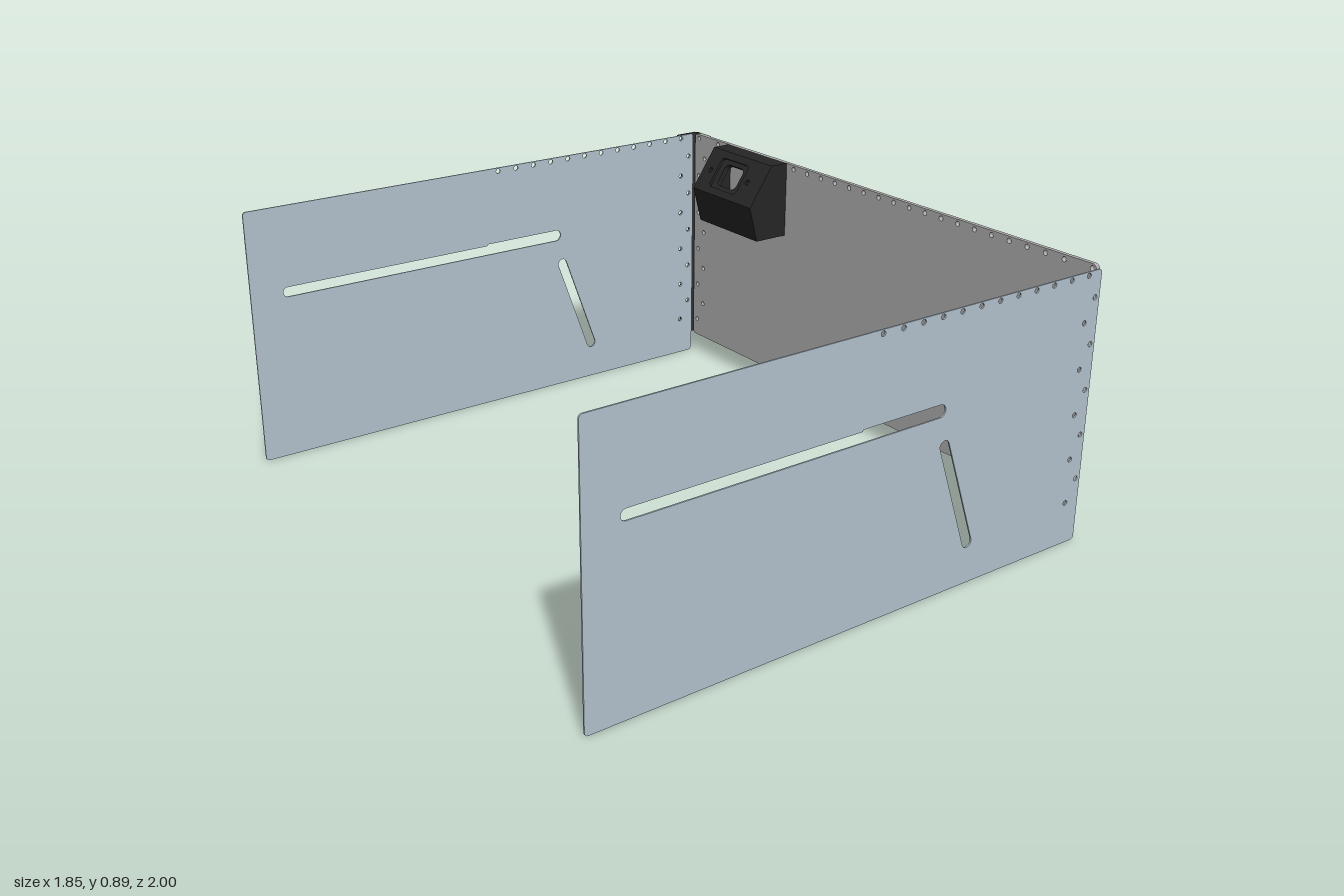
import * as THREE from 'three';

const mat = (color) => new THREE.MeshStandardMaterial({ color });
const blue = mat(0xb4c3cf), grey = mat(0xb0b0b0), dark = mat(0x333333), black = mat(0x262626);
const PITCH = 0.0735, HOLE = 0.0085;

// rectangle with rounded corners
function roundRect(x0, y0, x1, y1, r, P = THREE.Shape) {
  const s = new P();
  s.absarc(x1 - r, y1 - r, r, 0, Math.PI / 2);
  s.absarc(x0 + r, y1 - r, r, Math.PI / 2, Math.PI);
  s.absarc(x0 + r, y0 + r, r, Math.PI, Math.PI * 1.5);
  s.absarc(x1 - r, y0 + r, r, Math.PI * 1.5, Math.PI * 2);
  s.closePath();
  return s;
}

function drill(shape, x, y, r = HOLE) {
  const p = new THREE.Path();
  p.absarc(x, y, r, 0, Math.PI * 2, true);
  shape.holes.push(p);
}

// zigzag column of rivet holes, alternating between two lines
function drillColumn(shape, outer, inner) {
  for (let i = 0; i < 11; i++) drill(shape, i % 2 ? inner : outer, 0.875 - i * PITCH);
}

// slot with round ends between two points
function slot(shape, ax, ay, bx, by, r) {
  const a = Math.atan2(by - ay, bx - ax), p = new THREE.Path();
  p.absarc(bx, by, r, a - Math.PI / 2, a + Math.PI / 2);
  p.absarc(ax, ay, r, a + Math.PI / 2, a + Math.PI * 1.5);
  p.closePath();
  shape.holes.push(p);
}

function sheet(name, shape, depth, material) {
  const g = new THREE.ExtrudeGeometry(shape, { depth, bevelEnabled: false, curveSegments: 6 });
  const m = new THREE.Mesh(g, material);
  m.name = name;
  return m;
}

const polygon = (pts) => new THREE.Shape(pts.map(([x, y]) => new THREE.Vector2(x, y)));

function sidePanel(name, z) {
  const s = roundRect(-0.925, 0, 0.895, 0.887, 0.012);
  drillColumn(s, 0.84, 0.876);
  for (let i = 1; i < 12; i++) drill(s, 0.84 - i * PITCH, 0.875);
  // long slot, slightly taller over its right-hand part
  const p = new THREE.Path();
  p.absarc(0.267, 0.592, 0.02, -Math.PI / 2, Math.PI / 2);
  p.lineTo(-0.02, 0.612);
  p.lineTo(-0.025, 0.606);
  p.absarc(-0.793, 0.589, 0.017, Math.PI / 2, Math.PI * 1.5);
  p.closePath();
  s.holes.push(p);
  slot(s, 0.293, 0.478, 0.415, 0.137, 0.018);
  const m = sheet(name, s, 0.005, blue);
  m.position.z = z;
  return m;
}

function endPlate() {
  // drawn with -z to the right, then turned to face +x
  const s = roundRect(-0.975, 0.075, 0.98, 0.89, 0.015);
  drillColumn(s, -0.96, -0.925);
  drillColumn(s, 0.955, 0.92);
  for (let i = 0; i < 24; i++) drill(s, -0.853 + i * PITCH, 0.875);
  const m = sheet('endPlate', s, 0.015, grey);
  m.rotation.y = Math.PI / 2;
  m.position.x = 0.9;
  return m;
}

function cornerBracket() {
  const g = new THREE.Group();
  g.name = 'cornerBracket';
  const a = roundRect(0.825, 0.075, 0.92, 0.89, 0.008);
  drillColumn(a, 0.84, 0.876);
  const back = sheet('bracketBackLeg', a, 0.005, dark);
  back.position.z = -1;
  const b = roundRect(0.903, 0.075, 1, 0.89, 0.008);
  drillColumn(b, 0.955, 0.92);
  const side = sheet('bracketSideLeg', b, 0.005, dark);
  side.rotation.y = Math.PI / 2;
  side.position.x = 0.915;
  g.add(back, side);
  return g;
}

// hollow box with a sloping socket face, fixed inside the end plate
function socketHousing() {
  const g = new THREE.Group();
  g.name = 'socketHousing';
  const z0 = -0.77, len = 0.335, t = 0.01;
  const outline = [[0.9, 0.89], [0.83, 0.89], [0.735, 0.75], [0.77, 0.62], [0.9, 0.62]];
  for (const z of [z0, z0 + len - t]) {
    const end = sheet('housingEnd', polygon(outline), t, black);
    end.position.z = z;
    g.add(end);
  }
  const walls = {
    housingTop: [[0.9, 0.89], [0.83, 0.89], [0.825, 0.88], [0.9, 0.88]],
    housingBottom: [[0.735, 0.75], [0.77, 0.62], [0.9, 0.62], [0.9, 0.63], [0.778, 0.63], [0.746, 0.75]],
  };
  for (const [name, pts] of Object.entries(walls)) {
    const w = sheet(name, polygon(pts), len - 0.002, black);
    w.position.z = z0 + 0.001;
    g.add(w);
  }

  // sloping face: local x runs along z, local y up the slope, local z outward
  const up = new THREE.Vector3(0.095, 0.14, 0).normalize();
  const out = new THREE.Vector3(-up.y, up.x, 0);
  const face = new THREE.Group();
  face.name = 'socketFace';
  face.quaternion.setFromRotationMatrix(
    new THREE.Matrix4().makeBasis(new THREE.Vector3(0, 0, 1), up, out));
  face.position.set(0.7825, 0.82, z0 + len / 2);
  const plate = roundRect(-len / 2, -0.0846, len / 2, 0.0846, 0.002);
  plate.holes.push(roundRect(-0.095, -0.058, 0.06, 0.058, 0.015, THREE.Path));
  for (const x of [-0.125, 0.09]) drill(plate, x, 0, 0.01);
  const panel = sheet('slopingPanel', plate, t, black);
  panel.position.z = -t;
  const rim = roundRect(-0.1, -0.063, 0.065, 0.063, 0.018);
  rim.holes.push(roundRect(-0.07, -0.042, 0.035, 0.042, 0.02, THREE.Path));
  const socket = sheet('socketRim', rim, 0.02, black);
  socket.position.z = -0.03;
  face.add(panel, socket);
  g.add(face);
  return g;
}

export function createModel() {
  const model = new THREE.Group();
  model.name = 'panelFrame';
  model.add(
    sidePanel('frontPanel', 0.995),
    sidePanel('backPanel', -0.995),
    endPlate(),
    cornerBracket(),
    socketHousing(),
  );
  return model;
}
